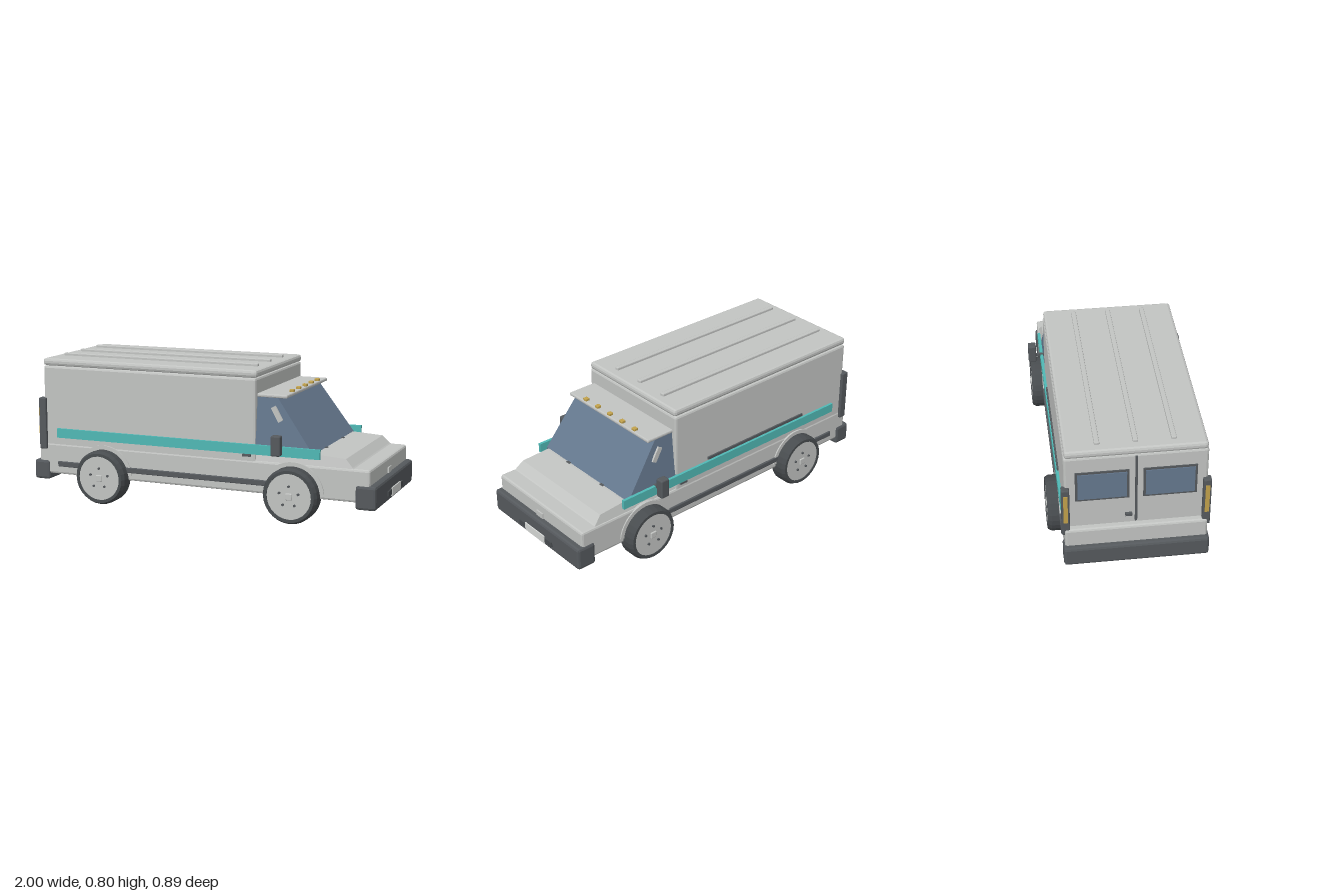
import * as THREE from 'three';
import { RoundedBoxGeometry } from 'three/addons/geometries/RoundedBoxGeometry.js';

const mat = (name, color) => new THREE.MeshStandardMaterial({ name, color });

export function createModel() {
  const paint = mat('body paint', 0xc2c4c2);
  const dark = mat('dark plastic', 0x55595d);
  const rubber = mat('tyre rubber', 0x484c4f);
  const teal = mat('teal stripe', 0x50b8b5);
  const glass = mat('blue glass', 0x65788e);
  const amber = mat('amber lens', 0xc2a24c);
  const plateWhite = mat('plate white', 0xd6d8d6);
  const van = new THREE.Group();
  van.name = 'van';

  const add = (name, geo, material, parent = van) => {
    const m = new THREE.Mesh(geo, material);
    m.name = name;
    parent.add(m);
    return m;
  };
  const flat = (geo) => {
    const g = geo.index ? geo.toNonIndexed() : geo;
    g.computeVertexNormals();
    return g;
  };
  // Box given by its limits, with an optional chamfer
  const box = (name, material, x0, x1, y0, y1, z0, z1, bevel = 0, parent = van) => {
    const s = [x1 - x0, y1 - y0, z1 - z0];
    const geo = bevel ? flat(new RoundedBoxGeometry(...s, 1, bevel)) : new THREE.BoxGeometry(...s);
    const m = add(name, geo, material, parent);
    m.position.set((x0 + x1) / 2, (y0 + y1) / 2, (z0 + z1) / 2);
    return m;
  };
  // Side profile extruded across the van, half width varying linearly with height
  const profile = (name, material, pts, yLow, wLow, yHigh, wHigh) => {
    const shape = new THREE.Shape(pts.map(([x, y]) => new THREE.Vector2(x, y)));
    const geo = new THREE.ExtrudeGeometry(shape, { depth: 2, bevelEnabled: false });
    geo.translate(0, 0, -1);
    const p = geo.attributes.position;
    for (let i = 0; i < p.count; i++) {
      const t = (p.getY(i) - yLow) / (yHigh - yLow);
      p.setZ(i, p.getZ(i) * THREE.MathUtils.lerp(wLow, wHigh, t));
    }
    return add(name, flat(geo), material);
  };

  // Body
  box('lowerBody', paint, -0.97, 0.955, 0.135, 0.31, -0.363, 0.363, 0.012);
  box('cargoBox', paint, -0.935, 0.33, 0.29, 0.745, -0.36, 0.36, 0.012);
  box('roofCap', paint, -0.94, 0.333, 0.745, 0.785, -0.356, 0.356, 0.014);
  for (const z of [-0.19, 0, 0.19]) {
    box('roofRib', dark, -0.89, 0.28, 0.78, 0.8, z - 0.013, z + 0.013, 0.005).material = paint;
  }
  profile('hood', paint, [[0.33, 0.3], [0.88, 0.3], [0.86, 0.315], [0.82, 0.355], [0.66, 0.365], [0.33, 0.355]],
    0.3, 0.357, 0.365, 0.338);
  box('hoodLatch', paint, 0.952, 0.962, 0.228, 0.258, -0.028, 0.026);

  // Cab
  profile('cabGlass', glass, [[0.32, 0.35], [0.648, 0.35], [0.648, 0.365], [0.44, 0.65], [0.32, 0.65]],
    0.36, 0.357, 0.65, 0.328);
  box('cabRoof', paint, 0.32, 0.495, 0.645, 0.663, -0.334, 0.334, 0.006);
  for (let i = -2; i <= 2; i++) {
    const z = i * 0.103;
    box('markerLight', amber, 0.465, 0.49, 0.661, 0.676, z - 0.013, z + 0.013, 0.003);
  }
  for (const z of [-0.14, 0.15]) box('wiper', dark, 0.645, 0.66, 0.355, 0.368, z - 0.013, z + 0.013);

  // Bumpers and number plate
  box('frontBumper', dark, 0.88, 0.99, 0.1, 0.227, -0.372, 0.372, 0.014);
  box('rearBumper', dark, -1, -0.905, 0.1, 0.21, -0.372, 0.372, 0.014);
  box('plateHolder', rubber, 0.985, 0.997, 0.126, 0.158, -0.145, 0.145, 0.004);
  box('plate', plateWhite, 0.994, 1, 0.12, 0.165, -0.085, 0.085);

  // Rear doors
  box('doorSeam', dark, -0.942, -0.93, 0.32, 0.735, -0.006, 0.006);
  box('doorHandle', dark, -0.95, -0.93, 0.36, 0.375, -0.055, -0.02);
  for (const s of [-1, 1]) {
    const span = (a, b) => (s > 0 ? [a, b] : [-b, -a]);
    box('rearWindowFrame', dark, -0.94, -0.93, 0.475, 0.655, ...span(0.035, 0.305));
    box('rearWindow', glass, -0.944, -0.935, 0.487, 0.643, ...span(0.047, 0.293));

    // Tail lamps
    box('tailLamp', dark, -0.962, -0.918, 0.275, 0.565, ...span(0.335, 0.376), 0.006);
    box('tailLens', amber, -0.966, -0.958, 0.36, 0.53, ...span(0.345, 0.367));

    // Side stripe and trim
    box('stripe', teal, -0.85, 0.69, 0.345, 0.397, ...span(0.358, 0.374));
    box('sideTrim', dark, -0.85, 0.45, 0.18, 0.21, ...span(0.36, 0.373), 0.004);
    box('sideHandle', dark, 0.26, 0.305, 0.33, 0.342, ...span(0.355, 0.372));

    // Slanted strip on the cab window
    const strip = box('windowStrip', paint, 0.43, 0.458, 0.52, 0.605, ...span(0.337, 0.348));
    strip.rotation.z = 0.52;

    // Mirrors
    box('mirrorArm', dark, 0.462, 0.478, 0.388, 0.4, ...span(0.35, 0.405));
    box('mirror', dark, 0.444, 0.496, 0.358, 0.465, ...span(0.398, 0.443), 0.007);
  }
  box('slidingDoorRail', dark, -0.607, 0.107, 0.405, 0.42, -0.369, -0.355);

  // Wheels and arches
  const tyreGeo = new THREE.LatheGeometry([
    [0.122, -0.055], [0.138, -0.055], [0.149, -0.035], [0.149, 0.035], [0.138, 0.055], [0.122, 0.055], [0.122, -0.055],
  ].map(([r, y]) => new THREE.Vector2(r, y)), 28);
  tyreGeo.rotateX(Math.PI / 2);
  const flatTyre = flat(tyreGeo);
  const hubGeo = new THREE.CylinderGeometry(0.124, 0.124, 0.1, 28).rotateX(Math.PI / 2);
  const lugGeo = new THREE.CylinderGeometry(0.007, 0.007, 0.012, 6).rotateX(Math.PI / 2);
  const archShape = new THREE.Shape();
  archShape.absarc(0, 0, 0.172, 0.1, Math.PI - 0.1, false);
  archShape.absarc(0, 0, 0.15, Math.PI - 0.1, 0.1, true);
  const archGeo = new THREE.ExtrudeGeometry(archShape, { depth: 0.025, bevelEnabled: false, curveSegments: 10 });

  for (const x of [-0.562, 0.542]) {
    for (const s of [-1, 1]) {
      const wheel = new THREE.Group();
      wheel.name = x > 0 ? 'frontWheel' : 'rearWheel';
      wheel.position.set(x, 0.149, s * 0.375);
      if (s < 0) wheel.rotation.y = Math.PI;
      add('tyre', flatTyre, rubber, wheel);
      add('hub', hubGeo, paint, wheel);
      box('hubCap', paint, -0.018, 0.018, -0.018, 0.018, 0.045, 0.058, 0.004, wheel);
      for (let i = 0; i < 5; i++) {
        const a = Math.PI / 2 + (i * Math.PI * 2) / 5;
        add('wheelNut', lugGeo, dark, wheel).position.set(Math.cos(a) * 0.055, Math.sin(a) * 0.055, 0.052);
      }
      van.add(wheel);
      const arch = add('wheelArch', archGeo, paint);
      arch.position.set(x, 0.149, s > 0 ? 0.345 : -0.37);
    }
  }
  return van;
}
